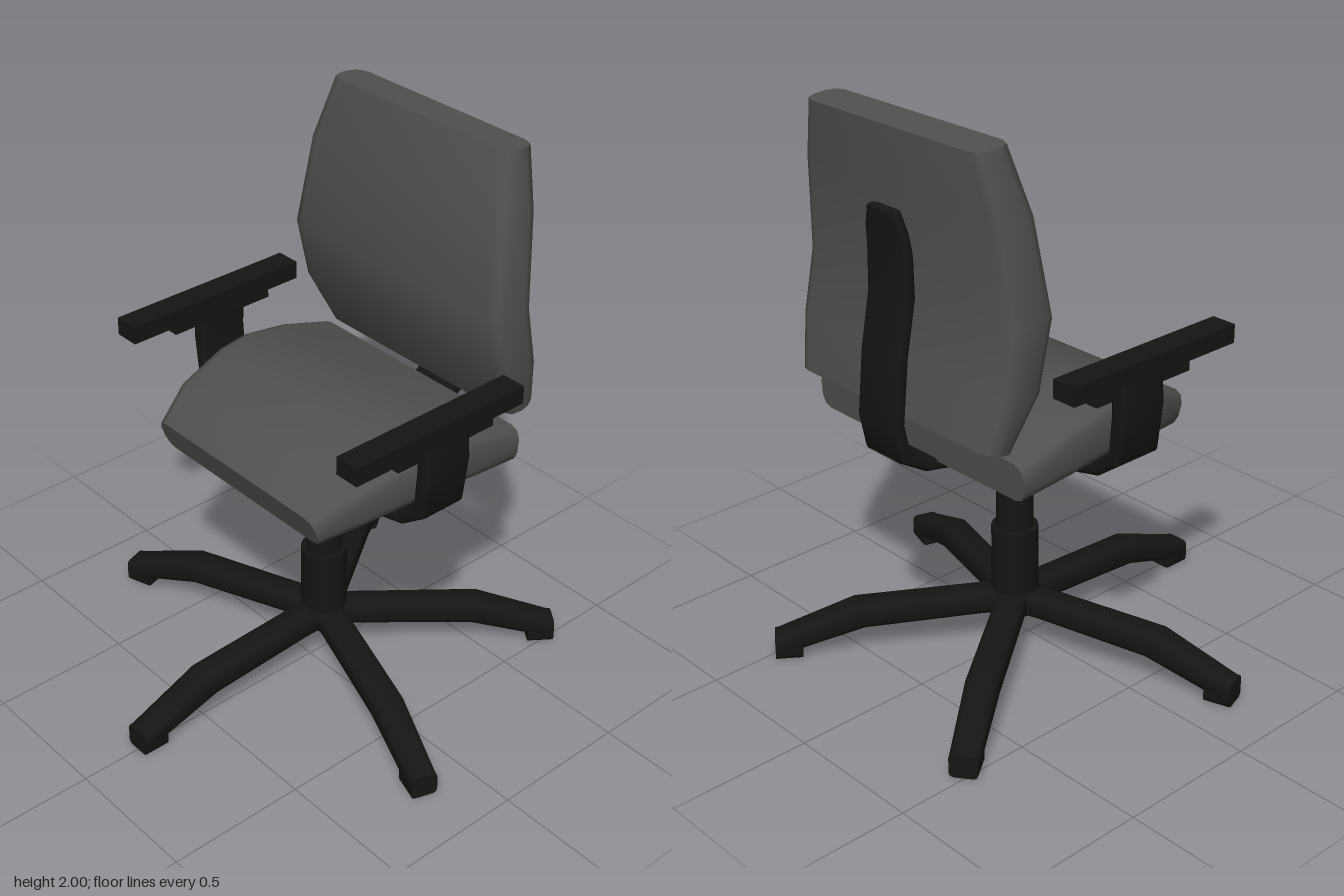
import * as THREE from 'three';
import { toCreasedNormals } from 'three/addons/utils/BufferGeometryUtils.js';

const fabric = new THREE.MeshStandardMaterial({ color: 0x505050, roughness: 0.9 });
const plastic = new THREE.MeshStandardMaterial({ color: 0x151515, roughness: 0.8 });
const AXIS = 0.065; // x of the column

// Loft through rows [upperX, upperY, lowerX, lowerY, halfWidth] with rounded corners
function loft(rows, radius, steps = 2) {
  const pos = [], idx = [];
  const n = 4 * (steps + 1);
  for (const [ax, ay, bx, by, w] of rows) {
    const thick = Math.hypot(bx - ax, by - ay);
    const r = Math.min(radius, thick * 0.45);
    for (let c = 0; c < 4; c++) {
      const top = c === 0 || c === 3, sz = c < 2 ? 1 : -1;
      for (let k = 0; k <= steps; k++) {
        const a = (k / steps) * Math.PI / 2;
        const first = c % 2 === 0 ? Math.cos(a) : Math.sin(a);
        const along = c % 2 === 0 ? Math.sin(a) : Math.cos(a);
        const inset = r * (1 - first) / thick;
        const t = top ? inset : 1 - inset;
        pos.push(ax + (bx - ax) * t, ay + (by - ay) * t, sz * (w - r * (1 - along)));
      }
    }
  }
  for (let r = 0; r < rows.length - 1; r++) {
    for (let i = 0; i < n; i++) {
      const a = r * n + i, b = r * n + (i + 1) % n;
      idx.push(a, b, a + n, b, b + n, a + n);
    }
  }
  const last = (rows.length - 1) * n;
  for (let i = 1; i < n - 1; i++) {
    idx.push(0, i + 1, i, last, last + i, last + i + 1);
  }
  const g = new THREE.BufferGeometry();
  g.setAttribute('position', new THREE.Float32BufferAttribute(pos, 3));
  g.setIndex(idx);
  return toCreasedNormals(g, 0.85);
}

function add(parent, name, geometry, material, x = 0, y = 0, z = 0) {
  const m = new THREE.Mesh(geometry, material);
  m.name = name;
  m.position.set(x, y, z);
  parent.add(m);
  return m;
}

export function createModel() {
  const chair = new THREE.Group();
  chair.name = 'officeChair';

  // Five-star base
  const base = new THREE.Group();
  base.name = 'base';
  base.position.x = AXIS;
  chair.add(base);
  const legShape = loft([
    [0, 0.22, 0, 0.13, 0.055],
    [0.12, 0.215, 0.12, 0.13, 0.055],
    [0.565, 0.193, 0.53, 0.105, 0.056],
    [0.845, 0.085, 0.80, 0.02, 0.05],
  ], 0.025);
  const footShape = loft([
    [0.75, 0.09, 0.75, 0, 0.048],
    [0.845, 0.085, 0.845, 0, 0.048],
  ], 0.015);
  for (let i = 0; i < 5; i++) {
    const leg = new THREE.Group();
    leg.name = 'leg';
    leg.rotation.y = Math.PI + i * Math.PI * 2 / 5;
    add(leg, 'legBeam', legShape, plastic);
    add(leg, 'foot', footShape, plastic);
    base.add(leg);
  }

  // Telescopic column: radius, bottom, top
  for (const [r, y0, y1] of [[0.082, 0.13, 0.46], [0.065, 0.45, 0.645], [0.047, 0.63, 0.86]]) {
    add(base, 'column', new THREE.CylinderGeometry(r, r, y1 - y0, 16), plastic, 0, (y0 + y1) / 2, 0);
  }

  // Tilt mechanism under the seat
  const mech = new THREE.CylinderGeometry(0.235, 0.235, 0.08, 8);
  mech.rotateY(Math.PI / 8);
  mech.scale(1 / Math.cos(Math.PI / 8), 1, 0.85);
  add(chair, 'mechanism', toCreasedNormals(mech, 0.5), plastic, AXIS, 0.853, 0);

  // Seat cushion, front edge to rear edge
  add(chair, 'seat', loft([
    [-0.34, 0.965, -0.30, 0.85, 0.40],
    [-0.20, 1.04, -0.165, 0.885, 0.455],
    [0.0, 1.088, 0.0, 0.91, 0.492],
    [0.12, 1.098, 0.12, 0.915, 0.50],
    [0.30, 1.068, 0.28, 0.90, 0.505],
    [0.495, 1.01, 0.485, 0.88, 0.50],
  ], 0.04), fabric);

  // Back cushion, bottom to top
  add(chair, 'backrest', loft([
    [0.49, 1.04, 0.605, 1.07, 0.465],
    [0.40, 1.23, 0.565, 1.25, 0.50],
    [0.345, 1.46, 0.525, 1.46, 0.497],
    [0.39, 1.78, 0.552, 1.79, 0.463],
    [0.445, 2.0, 0.575, 1.99, 0.41],
  ], 0.045), fabric);

  // Curved spine carrying the back
  add(chair, 'backSpine', loft([
    [0.20, 0.88, 0.20, 0.83, 0.095],
    [0.38, 0.875, 0.39, 0.828, 0.095],
    [0.51, 0.893, 0.525, 0.855, 0.095],
    [0.59, 0.95, 0.63, 0.918, 0.095],
    [0.612, 1.05, 0.656, 1.04, 0.095],
    [0.59, 1.27, 0.635, 1.26, 0.095],
    [0.555, 1.46, 0.60, 1.45, 0.095],
    [0.558, 1.60, 0.598, 1.59, 0.095],
    [0.568, 1.67, 0.605, 1.665, 0.09],
    [0.58, 1.74, 0.615, 1.735, 0.068],
  ], 0.015), plastic);

  // U-shaped arm bracket, one half mirrored into the other
  const half = [
    [-0.535, 1.20, -0.588, 1.20, 0.095],
    [-0.54, 1.10, -0.597, 1.10, 0.095],
    [-0.53, 0.95, -0.575, 0.925, 0.095],
    [-0.46, 0.895, -0.48, 0.855, 0.095],
    [-0.32, 0.87, -0.335, 0.822, 0.095],
    [-0.15, 0.86, -0.15, 0.812, 0.095],
  ];
  const mirrored = half.map(([a, b, c, d, w]) => [-a, b, -c, d, w]).reverse();
  const bracket = add(chair, 'armBracket', loft([...half, ...mirrored], 0.015), plastic, AXIS);
  bracket.rotation.y = Math.PI / 2;

  // Armrests
  for (const s of [-1, 1]) {
    const arm = new THREE.Group();
    arm.name = s > 0 ? 'leftArmrest' : 'rightArmrest';
    add(arm, 'armPad', new THREE.BoxGeometry(0.72, 0.065, 0.092), plastic, 0.02, 1.243, s * 0.558);
    add(arm, 'armPlate', new THREE.BoxGeometry(0.415, 0.05, 0.05), plastic, 0.058, 1.19, s * 0.56);
    chair.add(arm);
  }
  return chair;
}
